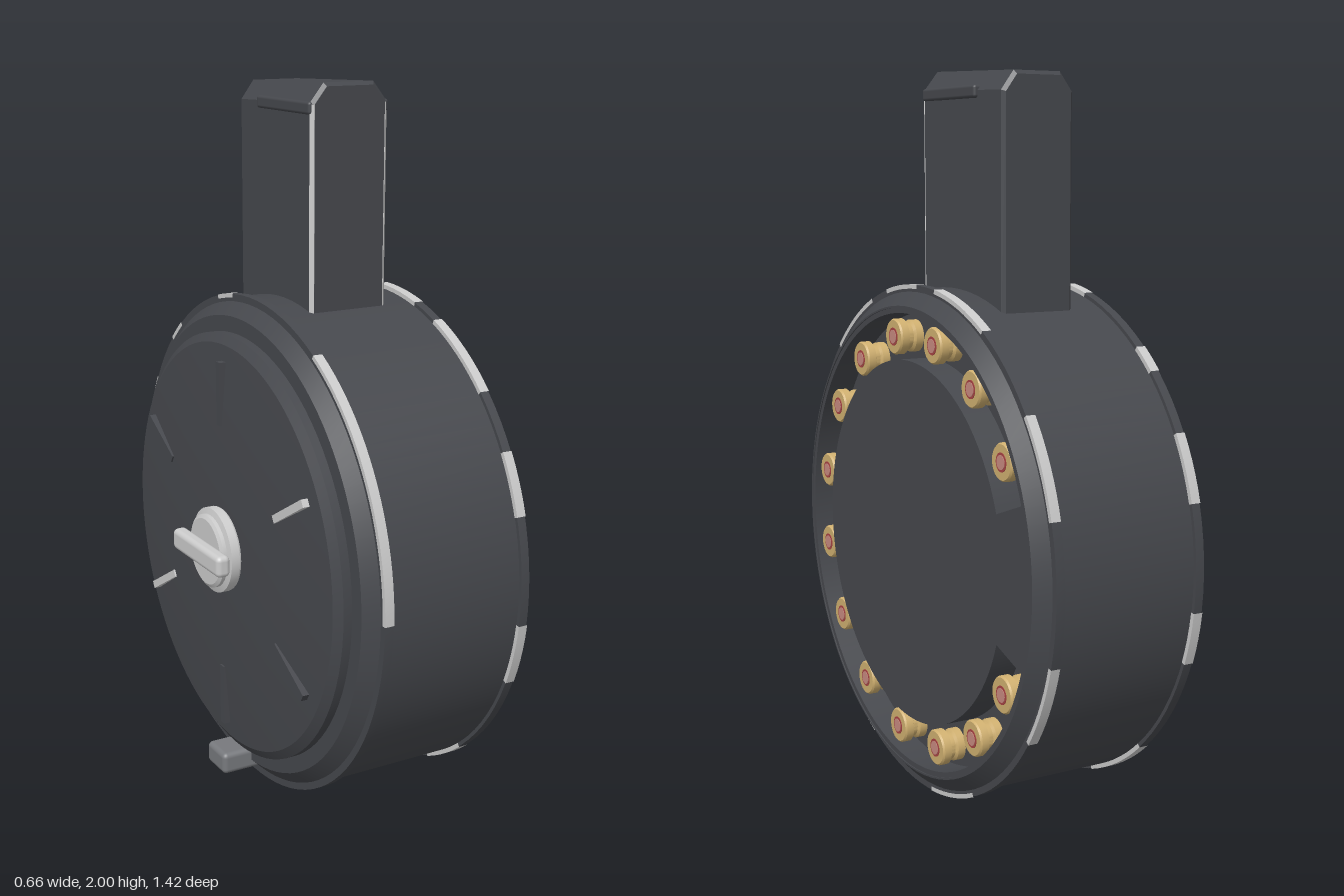
import * as THREE from 'three';
import { toCreasedNormals } from 'three/addons/utils/BufferGeometryUtils.js';
import { RoundedBoxGeometry } from 'three/addons/geometries/RoundedBoxGeometry.js';

const CY = 0.712; // height of the drum axis
const rad = THREE.MathUtils.degToRad;
const mat = (color) => new THREE.MeshStandardMaterial({ color });

export function createModel() {
  const model = new THREE.Group();
  const dark = mat(0x46484d);
  const steel = mat(0xcccccc);
  const brass = mat(0xd0b070);
  const red = mat(0xa84444);
  const pink = mat(0xc88a80);

  const add = (name, geometry, material, x = 0, y = 0, z = 0, parent = model) => {
    const mesh = new THREE.Mesh(geometry, material);
    mesh.name = name;
    mesh.position.set(x, y, z);
    parent.add(mesh);
    return mesh;
  };
  // Turned part around the x axis; profile is [radius, x] from low to high x
  const turned = (profile, segments = 96, start = 0, length = Math.PI * 2) => {
    const points = profile.map(([r, x]) => new THREE.Vector2(r, x));
    const g = new THREE.LatheGeometry(points, segments, start, length);
    return toCreasedNormals(g.rotateZ(-Math.PI / 2), 0.4);
  };

  // Drum shell: stepped cover, two flanges, chamfered rim and groove floor
  add('drum', turned([
    [0, -0.25], [0.36, -0.25], [0.585, -0.232], [0.61, -0.215], [0.61, -0.19],
    [0.655, -0.19], [0.69, -0.155], [0.71, -0.155], [0.71, -0.13], [0.7, -0.13],
    [0.7, 0.265], [0.71, 0.265], [0.71, 0.29], [0.692, 0.29], [0.655, 0.325],
    [0.65, 0.325], [0.65, 0.24], [0, 0.24],
  ]), dark, 0, CY);

  // Bare-metal stretches along the flanges, in degrees from the top towards the front
  const wear = (x, spans) => spans.forEach(([a, b]) => {
    const [x0, x1] = [x - 0.0135, x + 0.0135];
    const section = [[0.7, x0], [0.712, x0], [0.712, x1], [0.7, x1]];
    const steps = Math.ceil((b - a) / 3);
    add('flangeWear', turned(section, steps, rad(a - 90), rad(b - a)), steel, 0, CY);
  });
  wear(-0.1425, [[-45, -38], [-15.5, -8], [29.5, 90], [200, 222], [250, 262], [285, 300]]);
  wear(0.2775, [[-75, -53], [-30, -8], [0, 15], [23, 45], [59, 73], [97, 112],
    [140, 155], [185, 205], [235, 255]]);

  // Face plate with an open arc-shaped window
  const gap = rad(19.5);
  const plate = new THREE.Shape().absarc(0, 0, 0.65, 0, Math.PI * 2);
  const slot = new THREE.Path();
  slot.absarc(0, 0, 0.635, gap, Math.PI * 2 - gap, false);
  slot.absarc(0, 0, 0.507, Math.PI * 2 - gap, gap, true);
  slot.closePath();
  plate.holes.push(slot);
  const plateGeo = new THREE.ExtrudeGeometry(plate, { depth: 0.082, bevelEnabled: false, curveSegments: 72 });
  add('facePlate', toCreasedNormals(plateGeo.rotateY(Math.PI / 2), 0.4), dark, 0.24, CY);

  // Round bases showing in the window
  const baseGeo = turned([
    [0.045, 0.23], [0.045, 0.262], [0.038, 0.268], [0.038, 0.28], [0.05, 0.286],
    [0.05, 0.307], [0.046, 0.312], [0, 0.312],
  ], 24);
  const ringGeo = turned([[0.025, 0.3], [0.025, 0.3135], [0, 0.3135]], 24);
  const capGeo = turned([[0.019, 0.3], [0.019, 0.315], [0, 0.315]], 24);
  for (let i = 0; i < 14; i++) {
    const a = rad(11.4 + 22.8 * (i - 7));
    const round = new THREE.Group();
    round.name = 'round';
    round.position.set(0, CY + 0.572 * Math.sin(a), 0.572 * Math.cos(a));
    add('roundBase', baseGeo, brass, 0, 0, 0, round);
    add('primerRing', ringGeo, red, 0, 0, 0, round);
    add('primer', capGeo, pink, 0, 0, 0, round);
    model.add(round);
  }

  // Feed tower: chamfered section run front to back, top falling to the rear
  const b = 0.01;
  const [x0, x1, top] = [-0.05 + b, 0.185 - b, 2 - b];
  const section = new THREE.Shape();
  [[x0, 1.3], [x1, 1.3], [x1, top - 0.045], [x1 - 0.036, top], [x0 + 0.036, top], [x0, top - 0.045]]
    .forEach(([x, y], i) => (i ? section.lineTo(x, y) : section.moveTo(x, y)));
  section.closePath();
  const towerGeo = new THREE.ExtrudeGeometry(section, {
    depth: 0.42 - 2 * b, bevelEnabled: true, bevelSize: b, bevelThickness: b, bevelSegments: 1,
  });
  towerGeo.translate(0, 0, -0.265 + b);
  const p = towerGeo.attributes.position;
  for (let i = 0; i < p.count; i++) {
    const back = (0.155 - p.getZ(i)) / 0.42;
    if (p.getY(i) > 1.5) p.setY(i, p.getY(i) - 0.015 * back);
    p.setX(i, 0.0675 + (p.getX(i) - 0.0675) * (1 - 0.08 * back));
  }
  add('feedTower', toCreasedNormals(towerGeo, 0.4), dark);

  // Side ribs and bright front corners of the tower
  for (const s of [-1, 1]) {
    add('towerRib', new RoundedBoxGeometry(0.03, 0.034, 0.29, 2, 0.008), dark, 0.0675 + s * 0.108, 1.935, 0.005);
    const edge = add('towerEdge', new THREE.BoxGeometry(0.014, 0.56, 0.004), steel, 0.0675 + s * 0.1122, 1.665, 0.1497);
    edge.rotation.y = s * Math.PI / 4;
  }

  // Six radial ribs on the rear cover
  for (let i = 0; i < 6; i++) {
    const a = i * Math.PI / 3;
    const rib = add('coverRib', new THREE.BoxGeometry(0.022, 0.18, 0.022), i === 1 || i === 4 ? steel : dark,
      -0.244, CY + 0.45 * Math.cos(a), 0.45 * Math.sin(a));
    rib.rotation.x = a;
  }

  // Winding key
  add('keyHub', turned([
    [0, -0.302], [0.095, -0.302], [0.105, -0.296], [0.105, -0.285], [0.122, -0.28],
    [0.122, -0.255], [0.115, -0.24],
  ], 40), steel, 0, CY);
  add('keyHandle', new RoundedBoxGeometry(0.042, 0.062, 0.29, 3, 0.015), steel, -0.315, CY);

  // Release latch at the bottom of the cover
  add('latch', new RoundedBoxGeometry(0.13, 0.065, 0.11, 3, 0.015), mat(0x77797d), -0.215, 0.063);

  return model;
}
